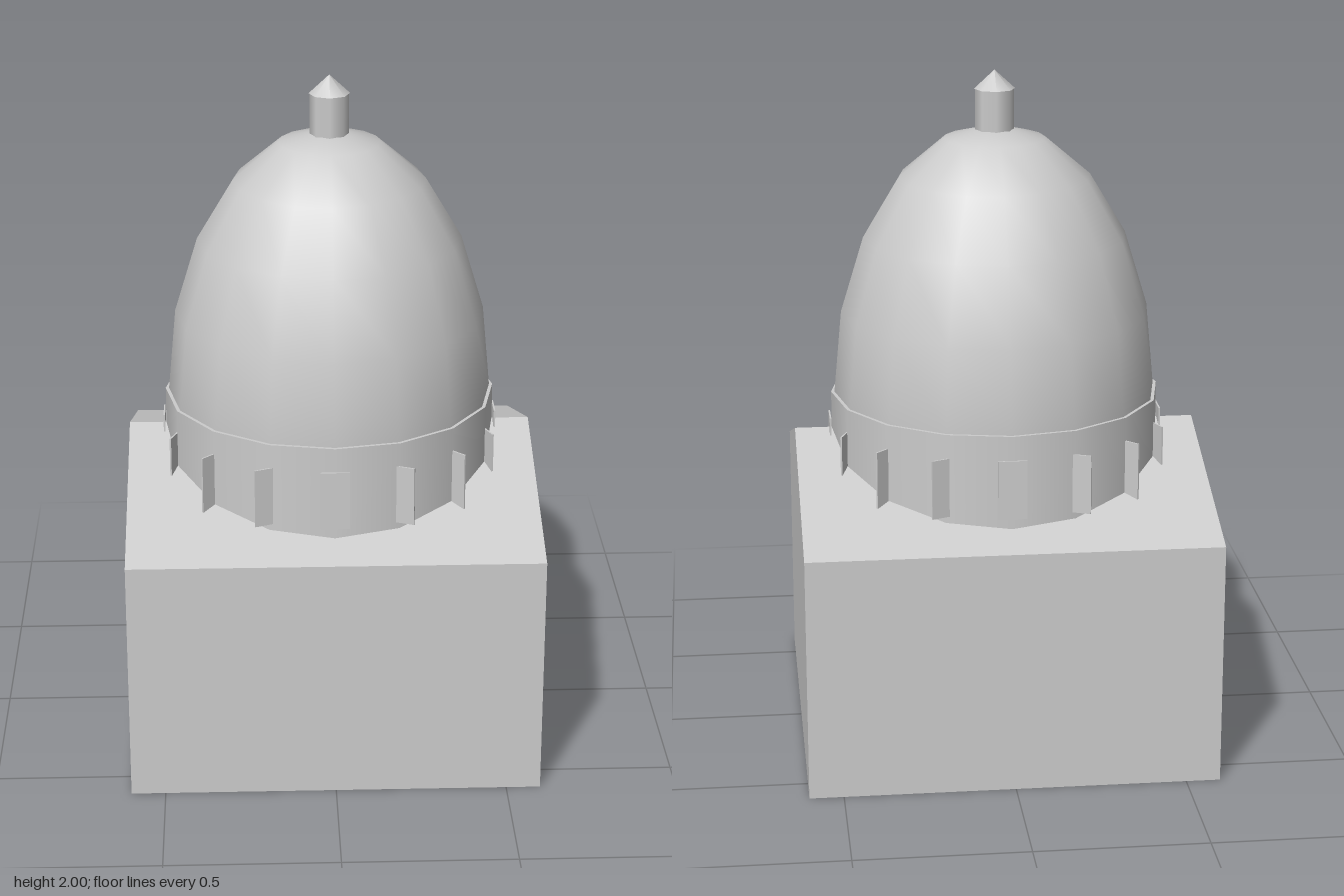
import * as THREE from 'three';

const SIDES = 16;

export function createModel() {
  const model = new THREE.Group();
  const stone = new THREE.MeshStandardMaterial({ color: 0xcccccc, side: THREE.DoubleSide });
  stone.name = 'paleStone';

  const add = (name, geometry, y = 0, parent = model) => {
    const mesh = new THREE.Mesh(geometry, stone);
    mesh.name = name;
    mesh.position.y = y;
    parent.add(mesh);
    return mesh;
  };

  // Base building: hollow, open below, ridge running along x. Points are (z, y).
  const half = 0.6, eave = 0.725, ridge = 0.93;
  const profile = [[half, 0], [half, eave], [0, ridge], [-half, eave], [-half, 0]];
  const strip = (i) => {
    const [z0, y0] = profile[i], [z1, y1] = profile[i + 1];
    const geometry = new THREE.BufferGeometry();
    geometry.setAttribute('position', new THREE.Float32BufferAttribute(
      [-half, y0, z0, half, y0, z0, half, y1, z1, -half, y1, z1], 3));
    geometry.setIndex([0, 1, 2, 0, 2, 3]);
    geometry.computeVertexNormals();
    return geometry;
  };
  ['frontWall', 'frontRoof', 'backRoof', 'backWall'].forEach((name, i) => add(name, strip(i)));

  const gable = new THREE.Shape(profile.map(([z, y]) => new THREE.Vector2(z, y)));
  for (const [name, side] of [['leftGable', 1], ['rightGable', -1]]) {
    const wall = add(name, new THREE.ShapeGeometry(gable));
    wall.rotation.y = side * Math.PI / 2;
    wall.position.x = side * half;
  }

  // Drum passing through the roof, with the dome on top
  const drumBottom = 0.72, drumTop = 1.04;
  add('drum', new THREE.CylinderGeometry(0.49, 0.49, drumTop - drumBottom, SIDES),
    (drumTop + drumBottom) / 2);

  const dome = new THREE.SphereGeometry(0.48, SIDES, 5, 0, Math.PI * 2, 0, Math.PI / 2);
  dome.scale(1, 0.8 / 0.48, 1);
  add('dome', dome, drumTop);

  // Thin window plates around the drum, turned against the ring so some stand out as fins
  const windows = new THREE.Group();
  windows.name = 'drumWindows';
  model.add(windows);
  const plate = new THREE.BoxGeometry(0.084, 0.175, 0.005);
  for (let i = 0; i < SIDES; i++) {
    const a = (i / SIDES) * Math.PI * 2;
    const pane = add('window', plate, 0.882, windows);
    pane.position.x = 0.495 * Math.sin(a);
    pane.position.z = 0.495 * Math.cos(a);
    pane.rotation.y = -a;
  }

  // Lantern and its pointed cap
  add('lantern', new THREE.CylinderGeometry(0.057, 0.057, 0.135, 8), 1.8775);
  add('lanternCap', new THREE.ConeGeometry(0.06, 0.055, 8), 1.9725);

  return model;
}
